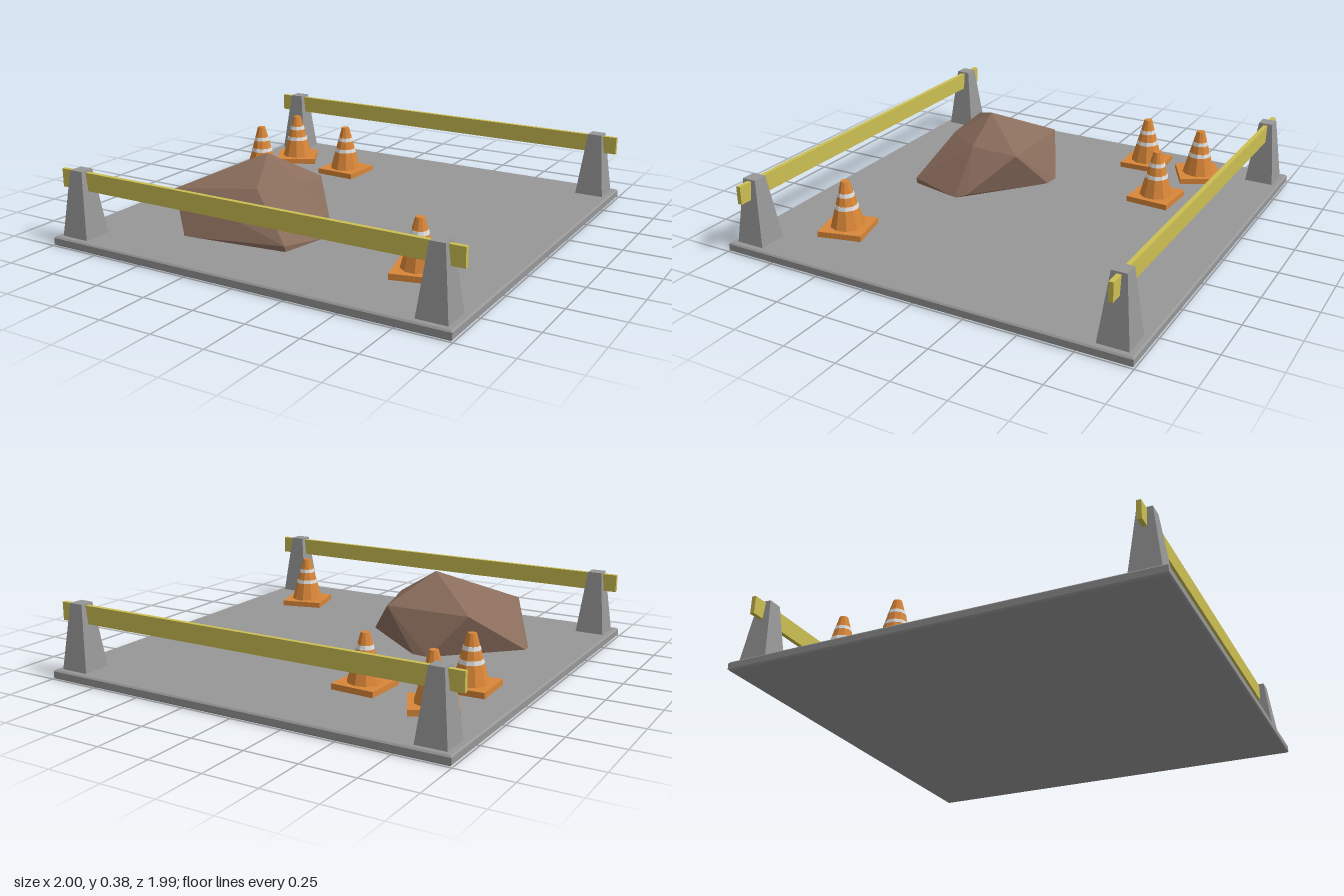
import * as THREE from 'three';
import { ConvexGeometry } from 'three/addons/geometries/ConvexGeometry.js';

const material = (name, color) => {
  const m = new THREE.MeshStandardMaterial({ color });
  m.name = name;
  return m;
};

// Faceted copy of a geometry, one normal per face
const faceted = (geometry) => {
  const g = geometry.index ? geometry.toNonIndexed() : geometry;
  g.computeVertexNormals();
  return g;
};

export function createModel() {
  const model = new THREE.Group();
  model.name = 'roadblock';

  const concrete = material('concrete grey', 0x979797);
  const yellow = material('rail yellow', 0xcdbf52);
  const orange = material('cone orange', 0xd98638);
  const white = material('stripe white', 0xdedede);
  const stone = material('rock brown', 0x8a6d5c);

  const add = (parent, name, geometry, mat, x = 0, y = 0, z = 0) => {
    const mesh = new THREE.Mesh(geometry, mat);
    mesh.name = name;
    mesh.position.set(x, y, z);
    parent.add(mesh);
    return mesh;
  };

  // Ground slab with small chamfers
  const c = 0.007, half = 0.995 - c, top = 0.043;
  const square = new THREE.Shape([[-half, -half], [half, -half], [half, half], [-half, half]]
    .map(([x, y]) => new THREE.Vector2(x, y)));
  const slab = new THREE.ExtrudeGeometry(square, {
    depth: top - 2 * c, bevelThickness: c, bevelSize: c, bevelSegments: 1,
  });
  slab.rotateX(-Math.PI / 2).translate(0, c, 0);
  add(model, 'groundSlab', faceted(slab), concrete);

  // Two barriers: tapered posts carrying a long rail
  const postHeight = 0.35 - top;
  const post = new THREE.CylinderGeometry(0.034 * Math.SQRT2, 0.07 * Math.SQRT2, postHeight, 4);
  post.rotateY(Math.PI / 4);
  const postGeometry = faceted(post);
  const railGeometry = new THREE.BoxGeometry(2, 0.085, 0.021);
  for (const [side, z] of [['front', 0.895], ['back', -0.895]]) {
    const barrier = new THREE.Group();
    barrier.name = side + 'Barrier';
    add(barrier, 'leftPost', postGeometry, concrete, 0.895, top + postHeight / 2, z);
    add(barrier, 'rightPost', postGeometry, concrete, -0.895, top + postHeight / 2, z);
    add(barrier, 'rail', railGeometry, yellow, 0, 0.299, z);
    model.add(barrier);
  }

  // Traffic cones: square foot, tapered body, two thin stripes
  const y0 = 0.083, y1 = 0.303, r0 = 0.081, r1 = 0.02, sides = 10;
  const radiusAt = (y) => r0 + (r1 - r0) * (y - y0) / (y1 - y0);
  const footGeometry = new THREE.BoxGeometry(0.21, 0.027, 0.21);
  const bodyGeometry = faceted(new THREE.CylinderGeometry(r1, r0, y1 - y0, sides));
  const stripes = [0.182, 0.24].map((y) => ({
    y,
    geometry: faceted(new THREE.CylinderGeometry(
      radiusAt(y + 0.009) + 0.0015, radiusAt(y - 0.009) + 0.0015, 0.018, sides, 1, false)),
  }));
  const cones = [
    [-0.725, -0.605, 28], [-0.36, -0.52, -3], [-0.755, -0.305, 2], [0.65, 0.585, 14],
  ];
  for (const [x, z, turn] of cones) {
    const cone = new THREE.Group();
    cone.name = 'trafficCone';
    cone.position.set(x, 0, z);
    cone.rotation.y = THREE.MathUtils.degToRad(turn);
    add(cone, 'foot', footGeometry, orange, 0, 0.0705, 0);
    add(cone, 'body', bodyGeometry, orange, 0, (y0 + y1) / 2, 0);
    for (const s of stripes) add(cone, 'stripe', s.geometry, white, 0, s.y, 0);
    model.add(cone);
  }

  // Boulder: convex hull of its corner points
  const corners = [
    [-0.26, 0.385, 0.35], [-0.54, 0.24, 0.13], [-0.11, 0.24, 0.125], [-0.07, 0.265, 0.35],
    [-0.195, 0.27, 0.53], [-0.59, 0.235, 0.62], [0.02, 0.07, 0.635], [0.06, 0.06, 0.31],
    [0.08, 0.04, 0.365], [0.02, 0.04, 0.63], [-0.49, 0.04, 0.69], [-0.73, 0.04, 0.42],
    [-0.73, 0.04, 0.39], [-0.375, 0.04, 0.04], [-0.3, 0.04, 0.045],
  ];
  add(model, 'boulder', new ConvexGeometry(corners.map((p) => new THREE.Vector3(...p))), stone);

  return model;
}
